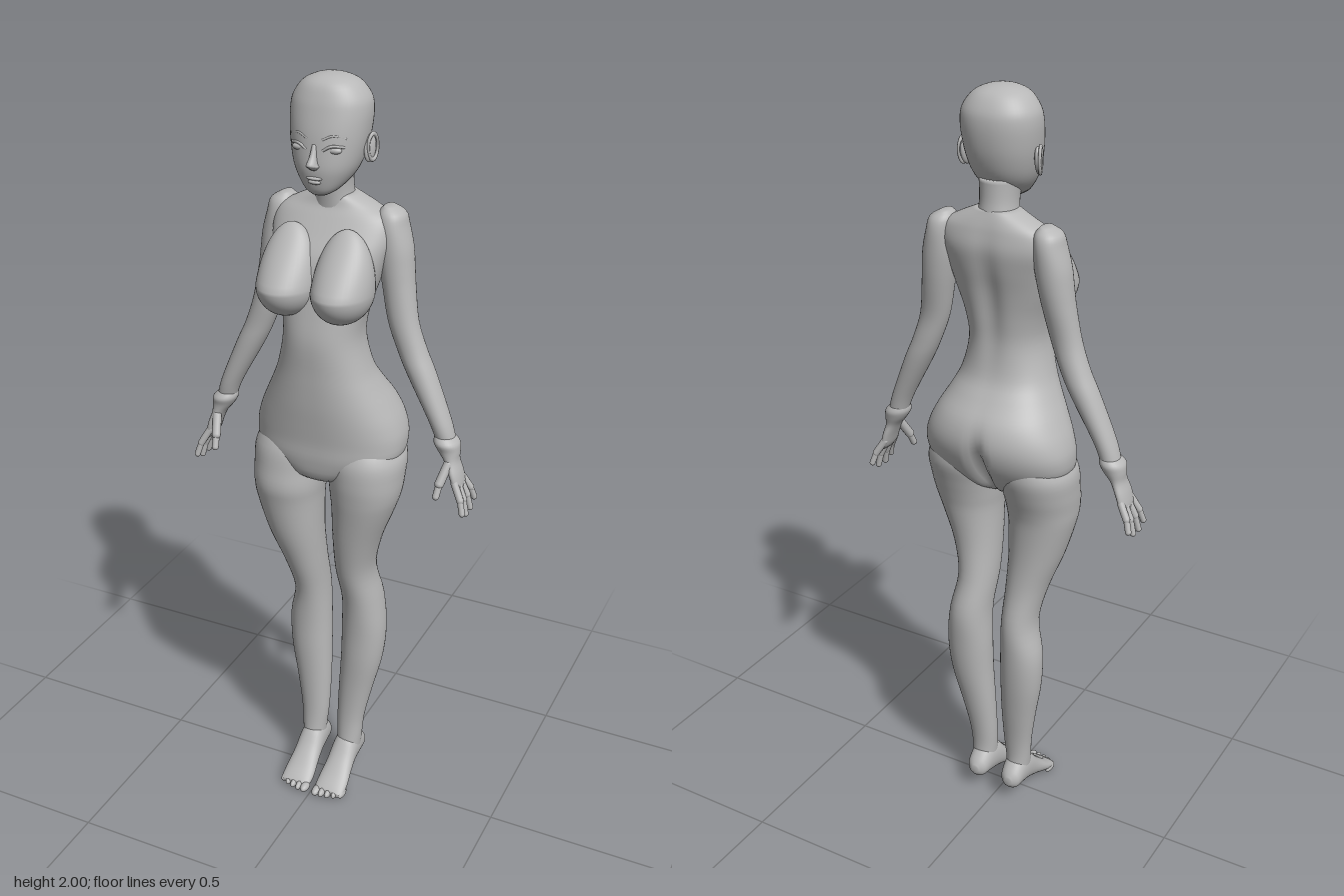
import * as THREE from 'three';

const grey = new THREE.MeshStandardMaterial({ color: 0xb8b8b8 });
grey.name = 'plain grey';

// Smooth interpolation through the rows of a section list
function sampleRow(rows, u) {
  const i = Math.min(Math.floor(u), rows.length - 2), f = u - i;
  const at = k => rows[Math.max(0, Math.min(rows.length - 1, k))];
  return rows[i].map((b, k) => {
    const a = at(i - 1)[k], c = at(i + 1)[k], d = at(i + 2)[k];
    return b + 0.5 * f * (c - a + f * (2 * a - 5 * b + 4 * c - d + f * (3 * (b - c) + d - a)));
  });
}

// Closed upright loft; each section is [y, centreX, radiusX, zFront, zBack]
function loft(sections, { n = 32, steps = 4, e = 2.1, rule } = {}) {
  const rows = [...sections].sort((a, b) => a[0] - b[0]);
  const pos = [], idx = [], count = (rows.length - 1) * steps;
  const power = v => Math.sign(v) * Math.abs(v) ** (2 / e);
  for (let i = 0; i <= count; i++) {
    const [y, cx, rx, zf, zb] = sampleRow(rows, i / steps);
    for (let j = 0; j < n; j++) {
      const a = j / n * Math.PI * 2;
      const p = new THREE.Vector3(cx + rx * power(Math.cos(a)), y, (zf + zb) / 2 + (zf - zb) / 2 * power(Math.sin(a)));
      if (rule) rule(p);
      pos.push(p.x, p.y, p.z);
      if (i < count) {
        const k = i * n + j, m = i * n + (j + 1) % n;
        idx.push(k, k + n, m, m, k + n, m + n);
      }
    }
  }
  // end caps
  for (const [row, up] of [[rows[0], false], [rows[rows.length - 1], true]]) {
    const c = pos.length / 3, base = up ? count * n : 0;
    pos.push(row[1], row[0], (row[3] + row[4]) / 2);
    for (let j = 0; j < n; j++) {
      const k = base + j, m = base + (j + 1) % n;
      idx.push(...(up ? [c, m, k] : [c, k, m]));
    }
  }
  const g = new THREE.BufferGeometry();
  g.setAttribute('position', new THREE.Float32BufferAttribute(pos, 3));
  g.setIndex(idx);
  g.computeVertexNormals();
  return g;
}

export function createModel() {
  const model = new THREE.Group();
  model.name = 'figure';

  const add = (name, geometry, parent = model) => {
    const mesh = new THREE.Mesh(geometry, grey);
    mesh.name = name;
    parent.add(mesh);
    return mesh;
  };
  const ball = (name, x, y, z, rx, ry, rz) => {
    const mesh = add(name, new THREE.SphereGeometry(1, 24, 16));
    mesh.position.set(x, y, z);
    mesh.scale.set(rx, ry, rz);
    return mesh;
  };
  const tube = (name, points, r) =>
    add(name, new THREE.TubeGeometry(new THREE.CatmullRomCurve3(points.map(p => new THREE.Vector3(...p))), 12, r, 8));
  const digit = (name, from, to, r) => {
    const a = new THREE.Vector3(...from), b = new THREE.Vector3(...to), d = b.clone().sub(a);
    const mesh = add(name, new THREE.CapsuleGeometry(r, d.length(), 6, 12));
    mesh.position.copy(a).add(b).multiplyScalar(0.5);
    mesh.quaternion.setFromUnitVectors(new THREE.Vector3(0, 1, 0), d.normalize());
  };

  // Torso, with a seat cleft and a shallow spine groove
  add('torso', loft([
    [0.972, 0, 0.03, 0.04, -0.05], [1.0, 0, 0.1, 0.085, -0.09], [1.05, 0, 0.185, 0.098, -0.13],
    [1.1, 0, 0.2, 0.1, -0.155], [1.15, 0, 0.19, 0.105, -0.163], [1.2, 0, 0.167, 0.11, -0.15],
    [1.25, 0, 0.14, 0.113, -0.115], [1.3, 0, 0.118, 0.115, -0.086], [1.38, 0, 0.1, 0.118, -0.075],
    [1.45, 0, 0.108, 0.108, -0.08], [1.52, 0, 0.13, 0.095, -0.09], [1.58, 0, 0.145, 0.08, -0.102],
    [1.63, 0, 0.155, 0.05, -0.108], [1.67, 0, 0.145, 0.025, -0.102], [1.695, 0, 0.105, 0.01, -0.095],
    [1.72, 0, 0.05, 0.005, -0.085],
  ], {
    n: 96, e: 2.3, rule: p => {
      if (p.z > 0) return;
      p.z += 0.04 * Math.exp(-((p.x / 0.018) ** 2) - ((p.y - 1.06) / 0.08) ** 2);
      p.z += 0.012 * Math.exp(-((p.x / 0.03) ** 2) - ((p.y - 1.5) / 0.14) ** 2);
    },
  }));

  add('neck', loft([
    [1.66, 0, 0.062, 0.01, -0.09], [1.7, 0, 0.05, 0.014, -0.088],
    [1.74, 0, 0.046, 0.02, -0.082], [1.79, 0, 0.05, 0.03, -0.08],
  ]));

  // Head and face
  add('head', loft([
    [1.733, 0, 0.02, 0.062, 0.02], [1.745, 0, 0.04, 0.072, -0.01], [1.77, 0, 0.062, 0.079, -0.055],
    [1.8, 0, 0.078, 0.083, -0.08], [1.84, 0, 0.089, 0.08, -0.096], [1.88, 0, 0.095, 0.075, -0.104],
    [1.92, 0, 0.097, 0.066, -0.106], [1.95, 0, 0.091, 0.057, -0.1], [1.98, 0, 0.068, 0.042, -0.08],
    [1.995, 0, 0.037, 0.018, -0.052], [2.0, 0, 0.005, -0.01, -0.025],
  ], { n: 48, e: 2.2 }));
  add('nose', loft([
    [1.797, 0, 0.008, 0.086, 0.07], [1.806, 0, 0.015, 0.1, 0.07], [1.813, 0, 0.012, 0.107, 0.07],
    [1.83, 0, 0.008, 0.093, 0.07], [1.855, 0, 0.006, 0.08, 0.065],
  ], { n: 16 }));
  ball('upperLip', 0, 1.777, 0.077, 0.021, 0.005, 0.009);
  ball('lowerLip', 0, 1.768, 0.075, 0.017, 0.006, 0.009);

  // Thigh, shin and ankle sections: [y, outer, inner, zFront, zBack]
  const legRows = {
    right: [
      [1.12, 0.16, 0.045, 0.06, -0.12], [1.06, 0.2, 0.005, 0.09, -0.128], [1.0, 0.203, 0.008, 0.1, -0.112],
      [0.95, 0.2, 0.012, 0.106, -0.095], [0.9, 0.193, 0.017, 0.098, -0.085], [0.8, 0.165, 0.02, 0.08, -0.08],
      [0.7, 0.13, 0.02, 0.05, -0.085], [0.6, 0.112, 0.018, 0.02, -0.1], [0.5, 0.13, 0.015, 0.01, -0.1],
      [0.4, 0.127, 0.013, 0.008, -0.093], [0.3, 0.11, 0.012, 0.005, -0.08], [0.2, 0.094, 0.014, 0.005, -0.065],
      [0.13, 0.088, 0.02, 0.01, -0.06], [0.07, 0.083, 0.024, 0.02, -0.068],
    ],
    left: [
      [1.12, 0.16, 0.045, 0.06, -0.12], [1.06, 0.2, 0.005, 0.09, -0.128], [1.0, 0.202, 0.008, 0.094, -0.112],
      [0.95, 0.196, 0.012, 0.09, -0.098], [0.9, 0.18, 0.017, 0.083, -0.088], [0.8, 0.143, 0.018, 0.066, -0.08],
      [0.7, 0.123, 0.02, 0.045, -0.088], [0.6, 0.138, 0.028, 0.022, -0.11], [0.5, 0.148, 0.025, 0.012, -0.106],
      [0.4, 0.14, 0.024, 0.01, -0.096], [0.3, 0.117, 0.02, 0.006, -0.08], [0.2, 0.096, 0.018, 0.005, -0.065],
      [0.13, 0.09, 0.02, 0.01, -0.06], [0.07, 0.085, 0.024, 0.02, -0.068],
    ],
  };

  for (const [side, s] of [['left', 1], ['right', -1]]) {
    const mirror = rows => rows.map(([t, x, ...rest]) => [t, s * x, ...rest]);
    const label = part => side + part;

    // Breast: round below, tapering to a slope above
    const breast = new THREE.SphereGeometry(1, 40, 32), p = breast.attributes.position;
    for (let i = 0; i < p.count; i++) {
      const t = Math.max(0, p.getY(i));
      p.setXYZ(i, p.getX(i) * 0.074, p.getY(i) * (t > 0 ? 0.14 : 0.08), p.getZ(i) * 0.094 * (1 - 0.55 * t) - 0.03 * t);
    }
    breast.computeVertexNormals();
    add(label('Breast'), breast).position.set(s * 0.072, 1.515, 0.074);

    // Arm
    add(label('Arm'), loft(mirror([
      [1.697, 0.135, 0.012, -0.03, -0.07], [1.68, 0.142, 0.032, -0.012, -0.09], [1.65, 0.146, 0.037, -0.003, -0.098],
      [1.6, 0.153, 0.043, 0, -0.097], [1.55, 0.16, 0.042, 0, -0.092], [1.5, 0.168, 0.04, 0, -0.084],
      [1.42, 0.184, 0.038, 0.002, -0.07], [1.35, 0.209, 0.037, 0.002, -0.07], [1.29, 0.237, 0.036, 0.005, -0.07],
      [1.18, 0.29, 0.028, 0.005, -0.06], [1.13, 0.308, 0.025, 0, -0.056],
    ])));

    // Hand with a flared wrist, four spread fingers and a thumb
    add(label('Hand'), loft(mirror([
      [1.14, 0.305, 0.024, 0.002, -0.056], [1.125, 0.312, 0.032, 0.012, -0.062], [1.105, 0.319, 0.028, 0.008, -0.058],
      [1.08, 0.329, 0.018, 0.008, -0.052], [1.05, 0.341, 0.015, 0.015, -0.055], [1.02, 0.35, 0.012, 0.014, -0.054],
      [1.005, 0.354, 0.006, 0.005, -0.045],
    ])));
    [[0.006, 0.025, 0.958], [-0.012, -0.002, 0.946], [-0.03, -0.034, 0.948], [-0.046, -0.062, 0.965]].forEach(([z0, z1, y], i) => {
      const zm = z0 * 0.4 + z1 * 0.6, ym = 0.985 + (y - 0.95) * 0.6;
      digit(label('Finger' + (i + 1)), [s * 0.347, 1.03, z0], [s * 0.369, ym, zm], 0.0095);
      digit(label('Fingertip' + (i + 1)), [s * 0.369, ym, zm], [s * 0.378, y, z1], 0.008);
    });
    digit(label('Thumb'), [s * 0.327, 1.075, 0], [s * 0.316, 1.03, 0.028], 0.012);
    digit(label('Thumbtip'), [s * 0.316, 1.03, 0.028], [s * 0.313, 1.0, 0.041], 0.009);

    // Leg
    add(label('Leg'), loft(legRows[side].map(([y, o, i, f, b]) => [y, s * (o + i) / 2, (o - i) / 2, f, b]), { n: 40 }));

    // Foot, lofted heel to ball, then tipped forward
    const foot = loft(mirror([
      [-0.09, 0.054, 0.01, -0.065, -0.088], [-0.075, 0.054, 0.028, -0.048, -0.11], [-0.04, 0.053, 0.034, -0.04, -0.14],
      [0, 0.052, 0.036, -0.03, -0.135], [0.04, 0.052, 0.039, -0.018, -0.09], [0.08, 0.052, 0.044, -0.005, -0.052],
      [0.108, 0.052, 0.043, -0.002, -0.032], [0.12, 0.052, 0.036, -0.006, -0.022],
    ]));
    foot.rotateX(Math.PI / 2);
    add(label('Foot'), foot);
    for (let i = 0; i < 5; i++)
      ball(label('Toe' + (i + 1)), s * (0.018 + i * 0.0178), 0.012, 0.118 - i * i * 0.0012, i ? 0.009 : 0.012, 0.0115, 0.022);

    // Ear, eye, lid and brow
    const ear = ball(label('Ear'), s * 0.095, 1.835, -0.02, 0.009, 0.033, 0.018);
    ear.rotation.set(-0.15, s * -0.35, 0);
    const rim = add(label('EarRim'), new THREE.TorusGeometry(0.02, 0.004, 8, 24));
    rim.position.set(s * 0.102, 1.838, -0.022);
    rim.rotation.y = Math.PI / 2 - s * 0.35;
    rim.scale.set(0.8, 1.5, 1);
    ball(label('Eye'), s * 0.042, 1.843, 0.063, 0.02, 0.009, 0.011);
    tube(label('Eyelid'), [[s * 0.02, 1.842, 0.076], [s * 0.04, 1.853, 0.073], [s * 0.066, 1.85, 0.054]], 0.0035);
    tube(label('Brow'), [[s * 0.018, 1.866, 0.074], [s * 0.042, 1.876, 0.067], [s * 0.068, 1.869, 0.05]], 0.003);
  }
  return model;
}
